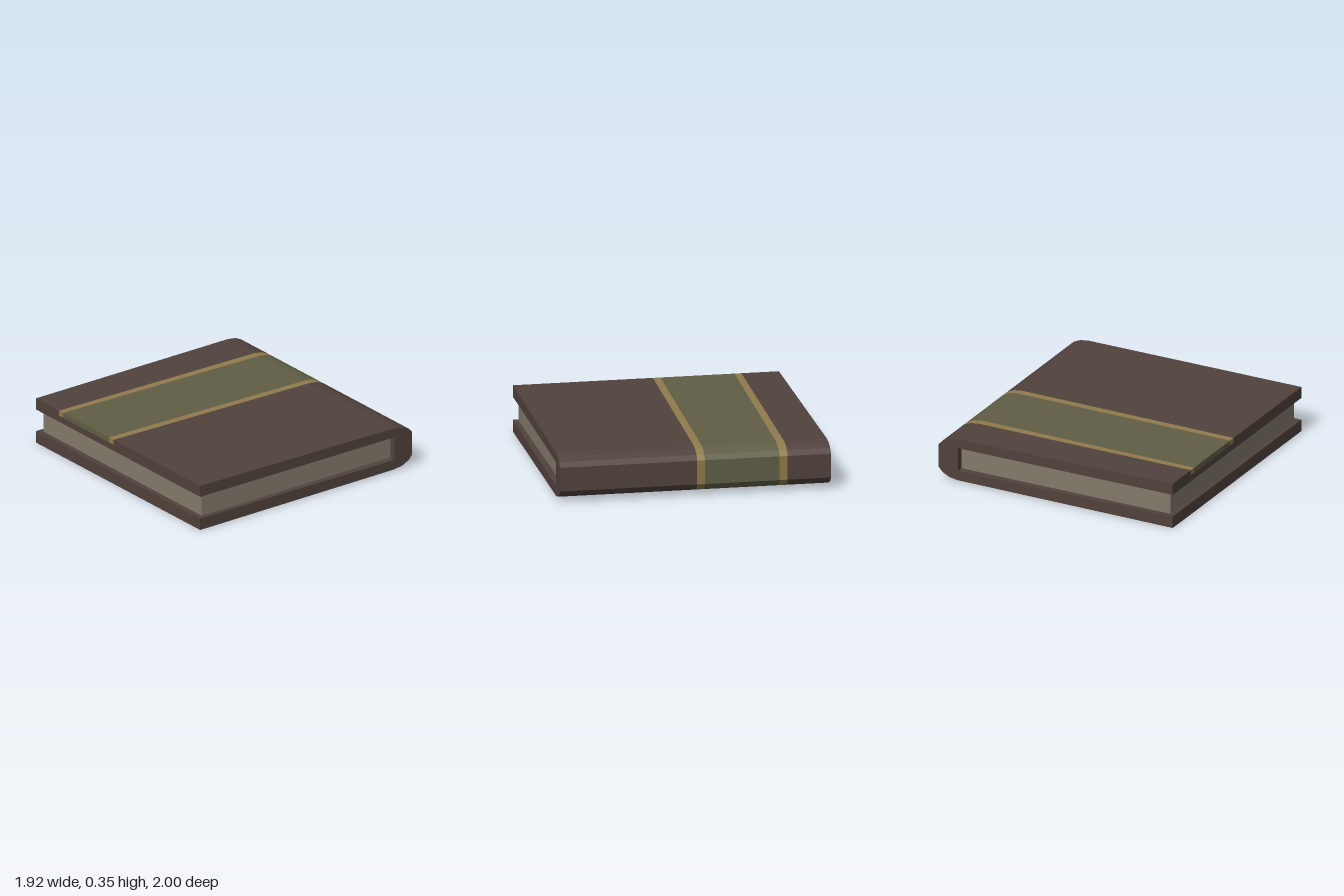
import * as THREE from 'three';

const paint = (name, color) => {
  const m = new THREE.MeshStandardMaterial({ color });
  m.name = name;
  return m;
};

// Flat-shaded geometry from a list of quads (corners counter-clockwise from outside)
function quads(list) {
  const pos = [];
  for (const [a, b, c, d] of list) pos.push(...a, ...b, ...c, ...a, ...c, ...d);
  const g = new THREE.BufferGeometry();
  g.setAttribute('position', new THREE.Float32BufferAttribute(pos, 3));
  g.computeVertexNormals();
  return g;
}

export function createModel() {
  const leather = paint('brown leather', 0x51423c);
  const green = paint('olive band', 0x605e45);
  const gold = paint('gold trim', 0x907b4b);
  const paper = paint('aged paper', 0x847a6b);

  const book = new THREE.Group();
  book.name = 'book';
  const add = (name, geometry, material) => {
    const mesh = new THREE.Mesh(geometry, material);
    mesh.name = name;
    book.add(mesh);
  };

  // Outside of the cover: bottom board, rounded spine, top board and the upper lip of its fore edge
  const outer = [
    [-0.96, 0], [0.8, 0.013], [0.87, 0.025], [0.925, 0.052], [0.957, 0.088],
    [0.957, 0.267], [0.925, 0.302], [0.87, 0.328], [0.8, 0.338], [-0.96, 0.35], [-0.96, 0.31],
  ];
  // Inside of the cover, from the top fore edge back to the bottom one
  const inner = [[-0.96, 0.262], [0.8, 0.267], [0.8, 0.088], [-0.96, 0.09]];
  const outline = [...outer, ...inner];

  // Depth at each band boundary, slightly skewed from fore edge to spine
  const stations = [[-0.982, -1], [-0.705, -0.68], [-0.655, -0.62], [-0.107, -0.07], [-0.052, -0.013], [0.98, 1]];
  const at = ([x, y], s) => [x, y, THREE.MathUtils.mapLinear(x, -0.96, 0.957, s[0], s[1])];
  const strip = (path, s0, s1) => path.slice(1).map((q, i) =>
    [at(path[i], s1), at(path[i], s0), at(q, s0), at(q, s1)]);

  // Outer skin, one strip per coloured band
  const bands = [['backCover', leather], ['backTrim', gold], ['coverBand', green], ['frontTrim', gold], ['frontCover', leather]];
  bands.forEach(([name, material], i) => add(name, quads(strip(outer, stations[i], stations[i + 1])), material));

  // Inner faces and fore edges of the boards
  const back = stations[0], front = stations[5];
  add('coverLining', quads(strip([outer.at(-1), ...inner, outer[0]], back, front)), leather);

  // Ends of the cover, following the slight taper
  for (const [name, s, flip] of [['frontEnd', front, false], ['backEnd', back, true]]) {
    const g = new THREE.ShapeGeometry(new THREE.Shape(outline.map(([x, y]) => new THREE.Vector2(x, y))));
    const p = g.attributes.position;
    for (let i = 0; i < p.count; i++) p.setZ(i, at([p.getX(i), p.getY(i)], s)[2]);
    if (flip) g.setIndex([...g.index.array].reverse());
    g.computeVertexNormals();
    add(name, g, leather);
  }

  // Page block, set in from the edges and tucked slightly into the cover
  const pages = new THREE.BoxGeometry(1.723, 0.182, 1.89);
  pages.translate(-0.0585, 0.177, 0);
  add('pages', pages, paper);

  return book;
}
